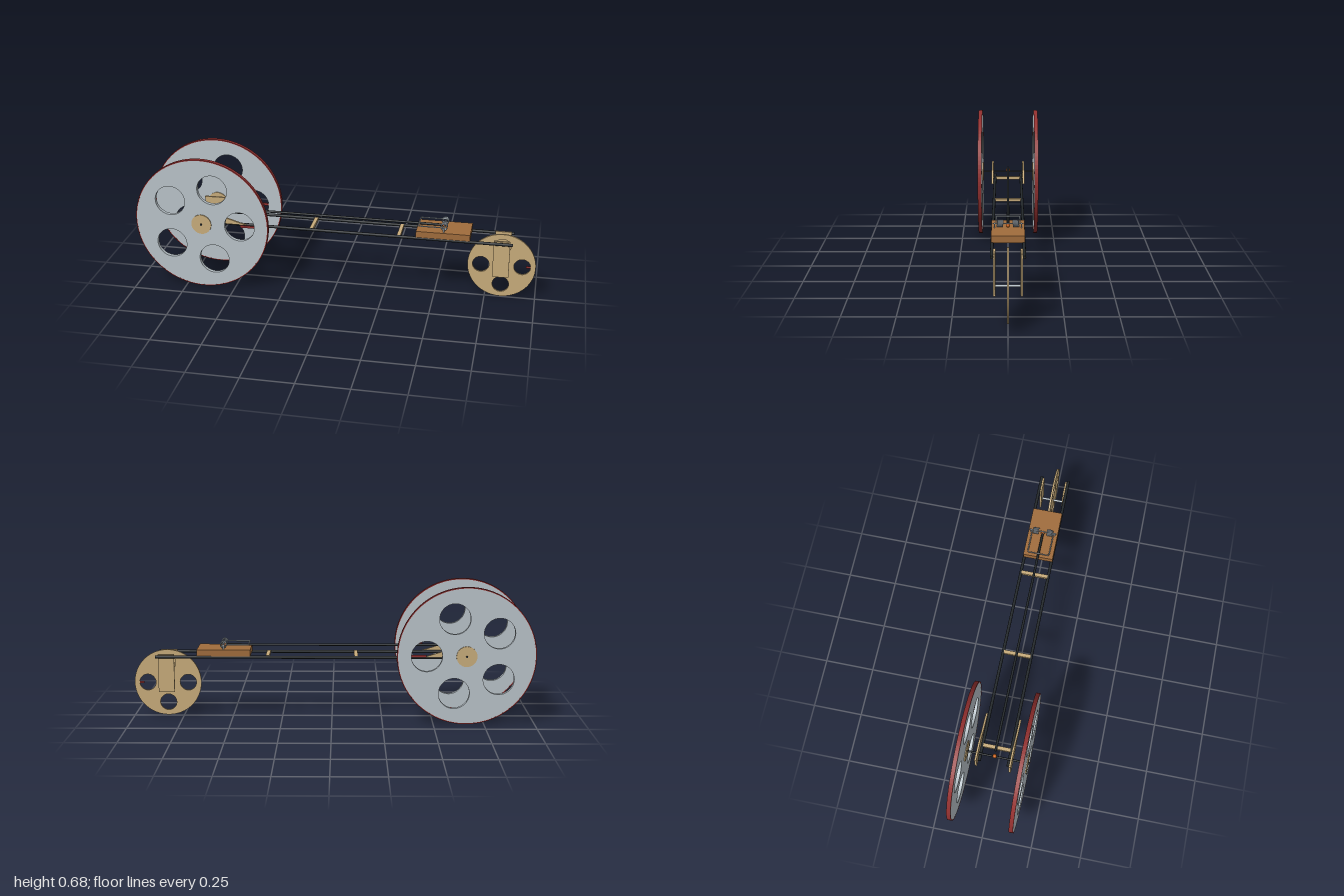
import * as THREE from 'three';

const mat = (name, color) => {
  const m = new THREE.MeshStandardMaterial({ color });
  m.name = name;
  return m;
};

export function createModel() {
  const car = new THREE.Group();
  car.name = 'springCar';
  const grey = mat('discGrey', 0xb9c3c9);
  const red = mat('rubberRed', 0x92302f);
  const tan = mat('plywoodTan', 0xc8ac7b);
  const brown = mat('boardBrown', 0xa06c3c);
  const black = mat('carbonBlack', 0x22272a);
  const steel = mat('steel', 0xb0bac2);
  const orange = mat('hookOrange', 0xd0661c);

  const add = (name, geometry, material, x = 0, y = 0, z = 0, parent = car) => {
    const mesh = new THREE.Mesh(geometry, material);
    mesh.name = name;
    mesh.position.set(x, y, z);
    parent.add(mesh);
    return mesh;
  };
  const box = (name, m, w, h, d, x, y, z, parent) =>
    add(name, new THREE.BoxGeometry(w, h, d), m, x, y, z, parent);
  const rodX = (name, m, r, x0, x1, y, z) =>
    add(name, new THREE.CylinderGeometry(r, r, x1 - x0, 16).rotateZ(Math.PI / 2), m, (x0 + x1) / 2, y, z);
  const rodZ = (name, m, r, length, x, y, z, parent) =>
    add(name, new THREE.CylinderGeometry(r, r, length, 32).rotateX(Math.PI / 2), m, x, y, z, parent);

  // Flat plate of a shape, centred on its own z
  const plate = (shape, depth) =>
    new THREE.ExtrudeGeometry(shape, { depth, bevelEnabled: false, curveSegments: 48 }).translate(0, 0, -depth / 2);
  // Disc with a ring of round holes
  const disc = (radius, depth, count, ringRadius, holeRadius) => {
    const shape = new THREE.Shape().absarc(0, 0, radius, 0, Math.PI * 2, false);
    for (let i = 0; i < count; i++) {
      const a = (i / count) * Math.PI * 2;
      shape.holes.push(new THREE.Path().absarc(
        Math.cos(a) * ringRadius, Math.sin(a) * ringRadius, holeRadius, 0, Math.PI * 2, true));
    }
    return plate(shape, depth);
  };

  // Large drive wheels with tyre, hub and marker strip
  const axleX = -0.66, axleY = 0.342;
  for (const side of [1, -1]) {
    const wheel = new THREE.Group();
    wheel.name = side > 0 ? 'driveWheelFrontSide' : 'driveWheelBackSide';
    wheel.position.set(axleX, axleY, side * 0.15);
    car.add(wheel);
    add('wheelDisc', disc(0.337, 0.02, 5, 0.195, 0.076), grey, 0, 0, 0, wheel);
    add('tyre', disc(0.341, 0.0205, 1, 0, 0.336), red, 0, 0, 0, wheel);
    rodZ('hub', tan, 0.051, 0.03, 0, 0, 0, wheel);
    box('markerStrip', red, 0.08, 0.012, 0.006, 0.238, 0, 0, wheel);
  }
  rodZ('rearAxle', black, 0.005, 0.34, axleX, axleY, 0);
  add('axleHook', new THREE.SphereGeometry(0.01, 16, 12), orange, axleX, 0.35, 0);

  // Tapered bearing plates carrying the rear axle
  const bearing = new THREE.Shape([
    [-0.71, 0.285], [-0.61, 0.285], [-0.56, 0.322], [-0.45, 0.322],
    [-0.55, 0.352], [-0.61, 0.391], [-0.71, 0.391],
  ].map(([x, y]) => new THREE.Vector2(x, y)));

  // Chassis rails, bearing plates and front fork plates
  for (const s of [1, -1]) {
    add('bearingPlate', plate(bearing, 0.01), tan, 0, 0, s * 0.084);
    rodX('rail', black, 0.0075, -0.69, 0.878, 0.318, s * 0.071);
    box('forkPlate', tan, 0.08, 0.192, 0.009, 0.826, 0.234, s * 0.06);
  }
  for (const x of [-0.61, -0.12, 0.32]) box('crossBar', tan, 0.018, 0.015, 0.135, x, 0.318, 0);

  // Front wheel
  add('frontWheel', disc(0.168, 0.01, 4, 0.102, 0.041), tan, 0.827, 0.174, 0);
  rodZ('frontAxle', steel, 0.006, 0.116, 0.827, 0.173, 0);
  box('frontMarkerStrip', red, 0.03, 0.01, 0.004, 0.963, 0.174, 0);

  // Spring board and lever arm
  box('springBoard', brown, 0.266, 0.033, 0.152, 0.538, 0.339, 0);
  rodX('leverArm', black, 0.006, -0.64, 0.535, 0.368, 0);
  add('leverCap', new THREE.SphereGeometry(0.009, 12, 8), orange, 0.536, 0.366, 0);

  // Snap frame: bent wire loop lying over the board
  const wire = (name, points, r) => {
    const path = new THREE.CurvePath();
    for (let i = 1; i < points.length; i++) {
      path.add(new THREE.LineCurve3(new THREE.Vector3(...points[i - 1]), new THREE.Vector3(...points[i])));
    }
    add(name, new THREE.TubeGeometry(path, 48, r, 8), steel);
  };
  wire('snapFrame', [[0.54, 0.376, 0.055], [0.415, 0.376, 0.055], [0.415, 0.376, -0.055], [0.54, 0.376, -0.055]], 0.003);
  rodZ('springBar', steel, 0.003, 0.14, 0.54, 0.376, 0);

  // Coiled springs and the staples holding their bar
  for (const s of [1, -1]) {
    const turns = 6, points = [];
    for (let i = 0; i <= turns * 12; i++) {
      const a = (i / 12) * Math.PI * 2;
      points.push(new THREE.Vector3(
        0.54 + Math.cos(a) * 0.015, 0.376 + Math.sin(a) * 0.015, s * (0.022 + (i / (turns * 12)) * 0.028)));
    }
    add('coilSpring', new THREE.TubeGeometry(new THREE.CatmullRomCurve3(points), 144, 0.0024, 6), steel);
    box('staple', steel, 0.008, 0.026, 0.005, 0.54, 0.367, s * 0.062);
  }
  return car;
}
